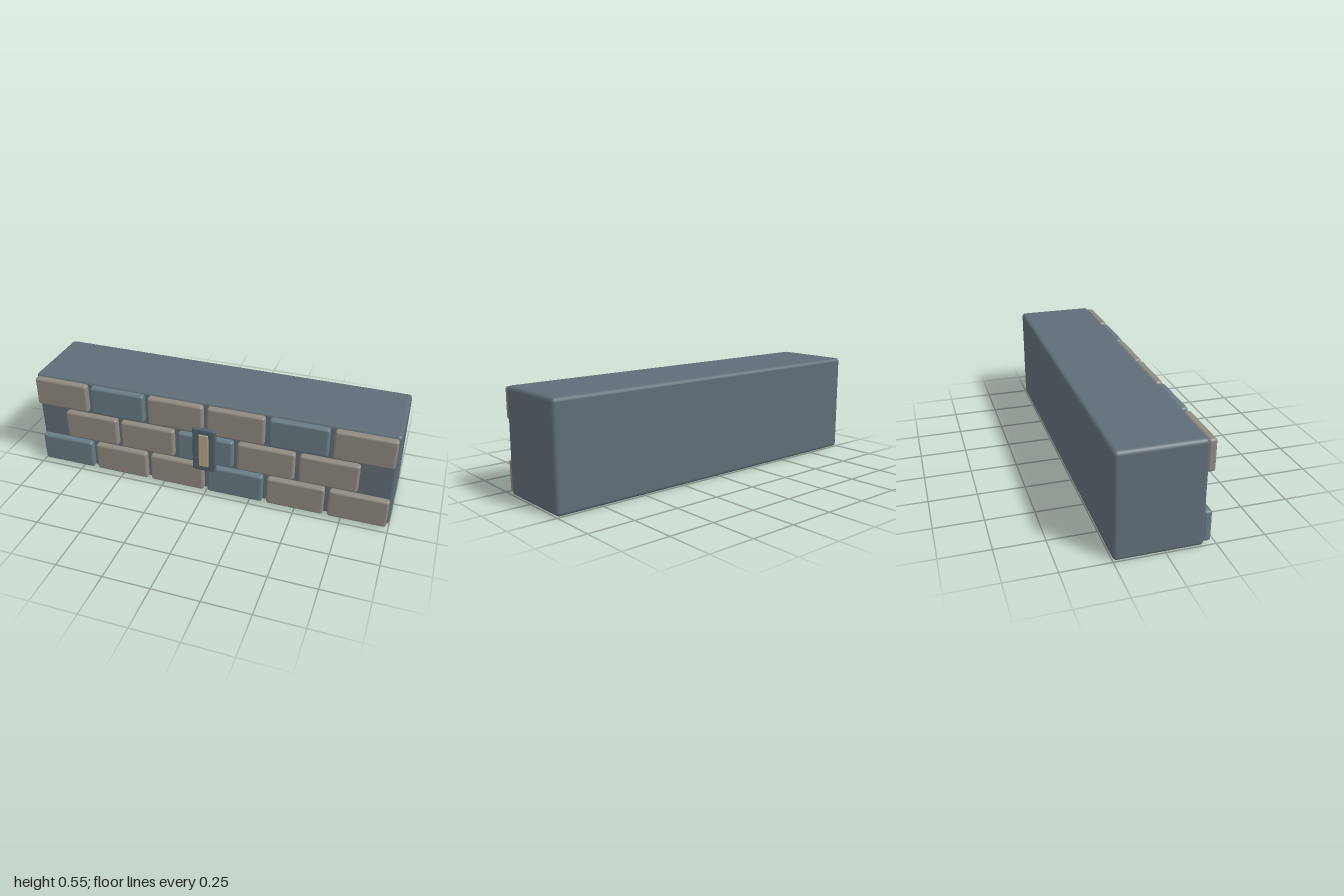
import * as THREE from 'three';
import { RoundedBoxGeometry } from 'three/addons/geometries/RoundedBoxGeometry.js';

const paint = (color) => new THREE.MeshStandardMaterial({ color });
const slate = paint(0x5f6d76);
const greyStone = paint(0x8f8a80);
const blueStone = paint(0x677b84);
const darkMetal = paint(0x53606b);
const brass = paint(0xb5a688);

// Box with softened edges, placed by its centre
function block(name, [w, h, d], [x, y, z], radius, material) {
  const mesh = new THREE.Mesh(new RoundedBoxGeometry(w, h, d, 2, radius), material);
  mesh.name = name;
  mesh.position.set(x, y, z);
  return mesh;
}

export function createModel() {
  const model = new THREE.Group();
  model.name = 'brickWallBlock';

  // Solid core
  model.add(block('wallCore', [2, 0.553, 0.44], [0, 0.2785, -0.03], 0.02, slate));

  // Three staggered courses on the front: g = grey stone, b = blue stone
  const bricks = new THREE.Group();
  bricks.name = 'frontBricks';
  ['bggbgg', 'ggbgg', 'gbggbg'].forEach((course, row) => {
    [...course].forEach((tone, i) => {
      const x = (i - (course.length - 1) / 2) / 3;
      const y = 0.0955 + row * 0.1838;
      bricks.add(block('brick', [0.31, 0.165, 0.042], [x, y, 0.207], 0.014,
        tone === 'b' ? blueStone : greyStone));
    });
  });
  model.add(bricks);

  // Upright plate with a pale inlay in the middle of the front
  model.add(block('plate', [0.13, 0.264, 0.031], [0, 0.29, 0.2285], 0.01, darkMetal));
  model.add(block('plateInlay', [0.054, 0.2, 0.014], [0, 0.29, 0.243], 0.004, brass));

  return model;
}
